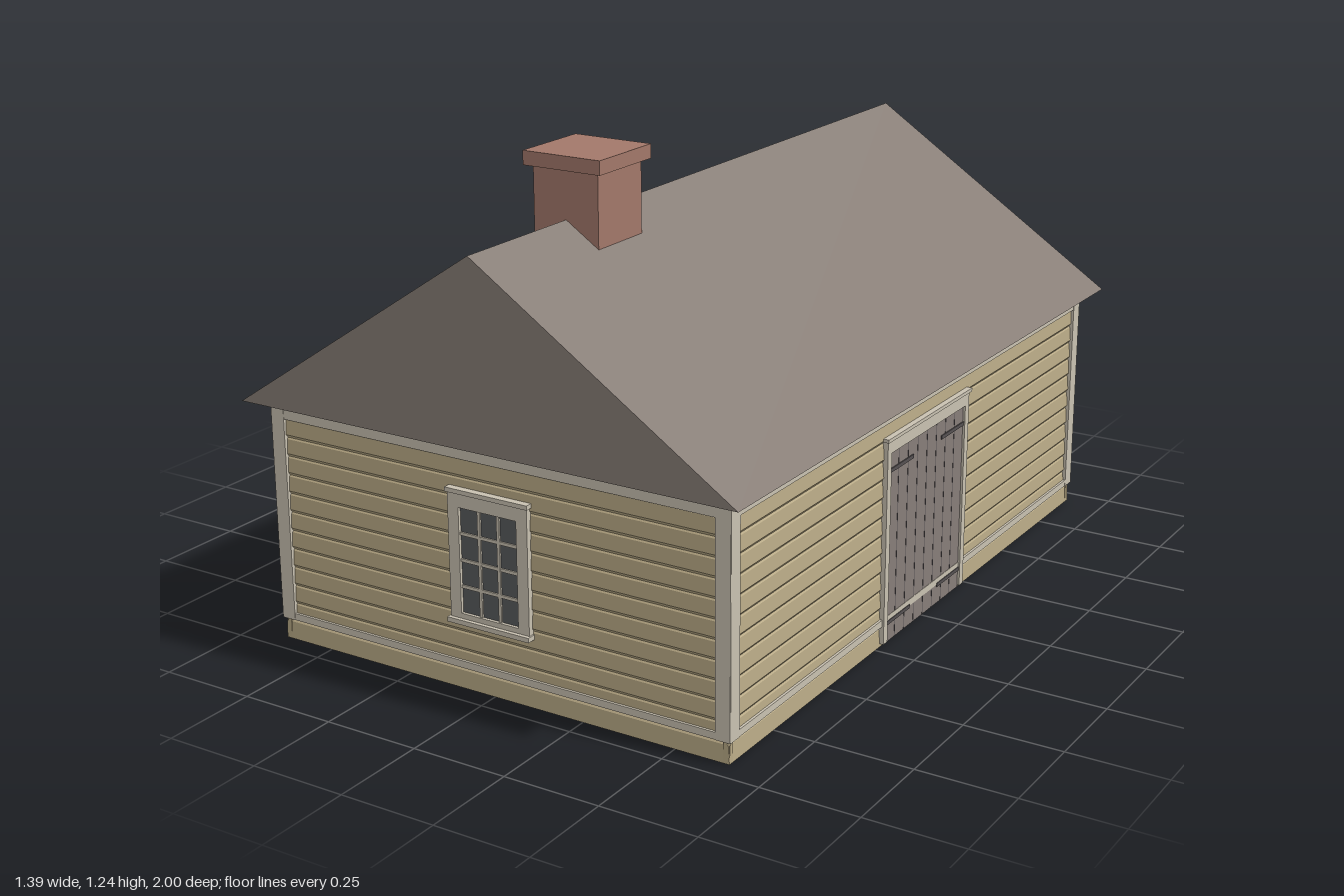
import * as THREE from 'three';

const material = (name, color, side = THREE.FrontSide) => {
  const m = new THREE.MeshStandardMaterial({ color, side });
  m.name = name;
  return m;
};

export function createModel() {
  const mats = {
    siding: material('tan siding', 0xb9aa86),
    trim: material('pale trim', 0xc9c1b1),
    roof: material('grey shingle', 0x877d76),
    brick: material('brick', 0xa2786a),
    glass: material('dark glass', 0x585a5c),
    door: material('weathered door', 0x877d79),
    iron: material('dark iron', 0x555152),
    green: material('dark green', 0x2f4539),
  };
  const model = new THREE.Group();
  model.name = 'house';

  // Box given by its limits on each axis
  function box(parent, name, mat, x0, x1, y0, y1, z0, z1) {
    const mesh = new THREE.Mesh(new THREE.BoxGeometry(x1 - x0, y1 - y0, z1 - z0), mat);
    mesh.position.set((x0 + x1) / 2, (y0 + y1) / 2, (z0 + z1) / 2);
    mesh.name = name;
    parent.add(mesh);
    return mesh;
  }

  // Glass plate with a grid of glazing bars
  function glazing(parent, x0, x1, y0, y1, cols, rows, bar = 0.008, z = 0.004, barMat = mats.trim) {
    box(parent, 'glass', mats.glass, x0, x1, y0, y1, z - 0.003, z);
    for (let i = 1; i < cols; i++) {
      const x = x0 + ((x1 - x0) * i) / cols;
      box(parent, 'glazingBar', barMat, x - bar / 2, x + bar / 2, y0, y1, z, z + 0.004);
    }
    for (let j = 1; j < rows; j++) {
      const y = y0 + ((y1 - y0) * j) / rows;
      box(parent, 'glazingBar', barMat, x0, x1, y - bar / 2, y + bar / 2, z, z + 0.0035);
    }
  }

  // Lapped-board wall with corner boards; local +z points outwards
  function wall(name, half, distance, angle) {
    const g = new THREE.Group();
    g.name = name;
    const rows = 13, h = 0.63 / rows;
    const s = new THREE.Shape();
    s.moveTo(-0.016, 0);
    for (let i = 0; i < rows; i++) {
      s.lineTo(i ? -0.006 : 0, i * h);
      s.lineTo(0, i * h + (i ? 0.008 : 0.001));
      s.lineTo(-0.003, (i + 1) * h - 0.004);
    }
    s.lineTo(-0.016, 0.63);
    const geo = new THREE.ExtrudeGeometry(s, { depth: 2 * half, bevelEnabled: false });
    geo.rotateY(-Math.PI / 2); // profile depth onto z, length onto x
    geo.rotateY(-Math.PI / 2);
    geo.rotateY(Math.PI / 2);
    geo.translate(half, 0, 0);
    // Turn the profile's outward axis to local +z
    const siding = new THREE.Mesh(geo, mats.siding);
    siding.name = 'lappedSiding';
    g.add(siding);
    for (const side of [-1, 1]) {
      const a = side * (half - 0.034), b = side * (half + 0.005);
      box(g, 'cornerBoard', mats.trim, Math.min(a, b), Math.max(a, b), 0.055, 0.63, -0.008, 0.006);
    }
    box(g, 'frieze', mats.trim, -half, half, 0.582, 0.63, -0.008, 0.005);
    box(g, 'baseBoard', mats.trim, -half, half, 0.055, 0.073, -0.008, 0.005);
    g.rotation.y = angle;
    g.position.set(Math.sin(angle) * distance, 0, Math.cos(angle) * distance);
    model.add(g);
    return g;
  }

  const W = 0.643, D = 0.946;
  const front = wall('frontWall', W, D, 0);
  const right = wall('barnDoorWall', D, W, Math.PI / 2);
  const back = wall('shopWall', W, D, Math.PI);
  const left = wall('windowWall', D, W, -Math.PI / 2);
  box(model, 'ceiling', mats.siding, -W + 0.005, W - 0.005, 0.615, 0.628, -D + 0.005, D - 0.005);

  // Sash windows
  for (const parent of [front, left]) {
    const g = new THREE.Group();
    g.name = 'sashWindow';
    parent.add(g);
    for (const [a, b] of [[-0.113, -0.082], [0.082, 0.113]])
      box(g, 'windowCasing', mats.trim, a, b, 0.185, 0.5, -0.004, 0.012);
    box(g, 'windowHead', mats.trim, -0.082, 0.082, 0.465, 0.5, -0.004, 0.012);
    box(g, 'windowBottomRail', mats.trim, -0.082, 0.082, 0.185, 0.2, -0.004, 0.012);
    box(g, 'windowCap', mats.trim, -0.117, 0.117, 0.5, 0.511, -0.004, 0.017);
    box(g, 'windowSill', mats.trim, -0.117, 0.117, 0.175, 0.187, -0.004, 0.022);
    glazing(g, -0.082, 0.082, 0.2, 0.465, 3, 4);
  }

  // Double plank door with strap hinges
  const barn = new THREE.Group();
  barn.name = 'barnDoor';
  right.add(barn);
  for (const s of [-1, 1]) {
    const span = (a, b) => (s > 0 ? [a, b] : [-b, -a]);
    box(barn, 'doorLeaf', mats.door, ...span(0.001, 0.205), 0.003, 0.505, -0.004, 0.004);
    box(barn, 'doorJamb', mats.trim, ...span(0.205, 0.226), 0.008, 0.505, -0.004, 0.01);
    for (const x of [0.052, 0.104, 0.155])
      box(barn, 'plankGroove', mats.iron, ...span(x - 0.0015, x + 0.0015), 0.003, 0.505, 0.003, 0.0045);
    for (const y of [0.055, 0.457])
      box(barn, 'strapHinge', mats.iron, ...span(0.078, 0.205), y - 0.005, y + 0.005, 0.003, 0.007);
  }
  box(barn, 'doorSeam', mats.iron, -0.0015, 0.0015, 0.003, 0.505, 0.003, 0.0045);
  box(barn, 'doorHead', mats.trim, -0.226, 0.226, 0.505, 0.538, -0.004, 0.01);
  box(barn, 'doorCap', mats.trim, -0.232, 0.232, 0.538, 0.547, -0.004, 0.015);

  // Shop front with glazed door and display window
  const shop = new THREE.Group();
  shop.name = 'shopFront';
  back.add(shop);
  box(shop, 'shopBacking', mats.trim, -0.35, 0.36, 0.003, 0.515, -0.006, 0.002);
  box(shop, 'shopHeader', mats.trim, -0.355, 0.367, 0.508, 0.575, -0.006, 0.012);
  box(shop, 'shopCap', mats.trim, -0.362, 0.374, 0.573, 0.583, -0.006, 0.016);
  for (const [a, b] of [[-0.355, -0.29], [-0.08, -0.04], [0.335, 0.367]])
    box(shop, 'shopPost', mats.trim, a, b, 0.003, 0.51, -0.006, 0.011);
  box(shop, 'shopApron', mats.trim, -0.04, 0.335, 0.003, 0.215, -0.006, 0.008);
  box(shop, 'shopSill', mats.trim, -0.04, 0.335, 0.213, 0.227, -0.006, 0.014);
  glazing(shop, -0.03, 0.33, 0.23, 0.495, 7, 5, 0.007, 0.005);
  glazing(shop, -0.28, -0.09, 0.455, 0.492, 5, 1, 0.007, 0.005);
  box(shop, 'shopDoor', mats.green, -0.285, -0.083, 0.006, 0.438, -0.006, 0.004);
  glazing(shop, -0.265, -0.103, 0.2, 0.42, 1, 3, 0.006, 0.006, mats.green);
  box(shop, 'doorPanel', mats.green, -0.26, -0.108, 0.035, 0.17, 0.003, 0.007);

  // Solid gabled roof
  const gable = new THREE.Shape([
    new THREE.Vector2(-0.695, 0.628),
    new THREE.Vector2(0.695, 0.628),
    new THREE.Vector2(0, 1.087),
  ]);
  const roofGeo = new THREE.ExtrudeGeometry(gable, { depth: 2, bevelEnabled: false });
  roofGeo.translate(0, 0, -1);
  const roof = new THREE.Mesh(roofGeo, mats.roof);
  roof.name = 'roof';
  model.add(roof);

  // Chimney, running down through the ceiling
  box(model, 'chimneyShaft', mats.brick, -0.091, 0.091, 0.49, 1.212, 0.439, 0.621);
  box(model, 'chimneyCap', mats.brick, -0.108, 0.108, 1.208, 1.243, 0.422, 0.638);

  return model;
}
